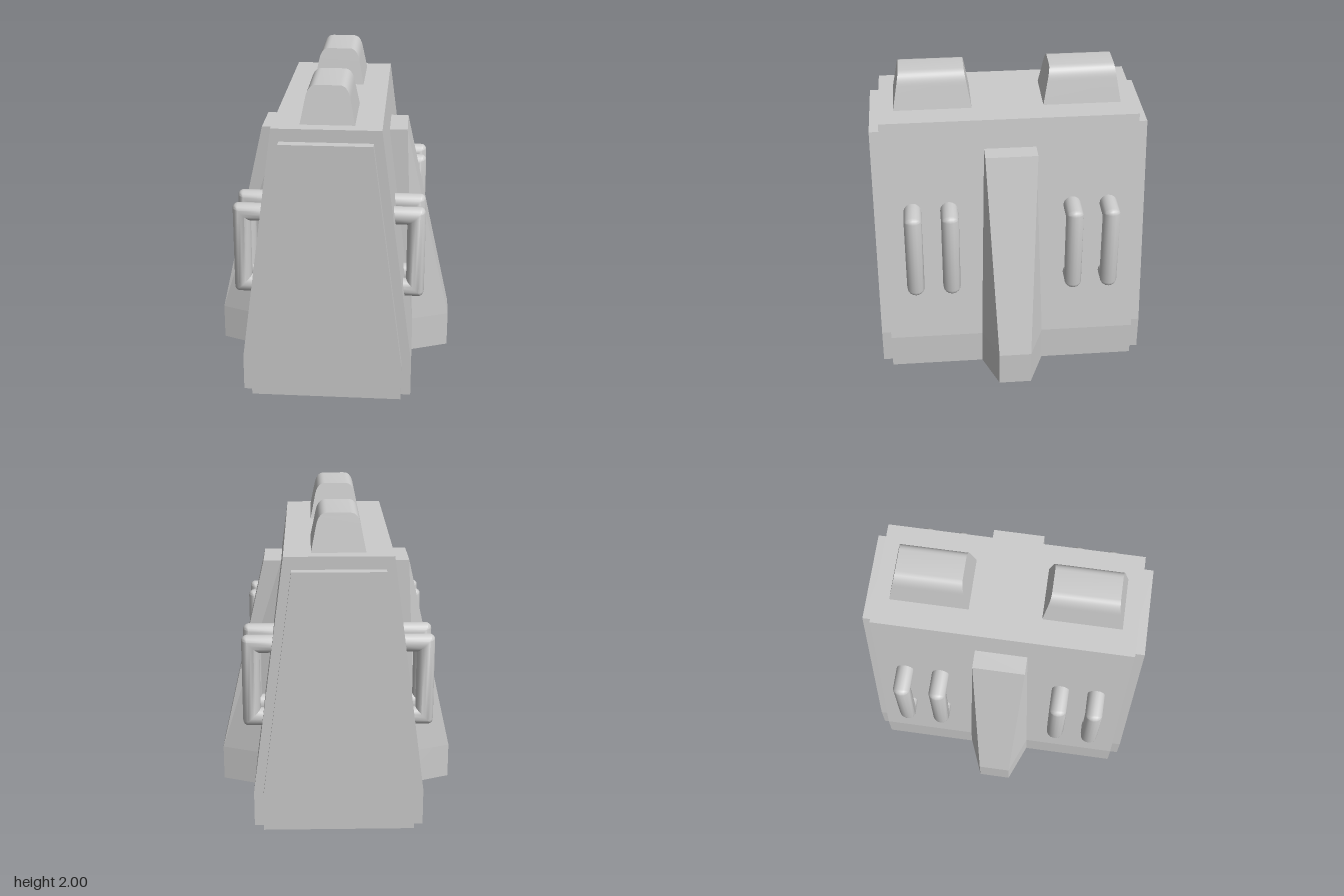
import * as THREE from 'three';
import { toCreasedNormals } from 'three/addons/utils/BufferGeometryUtils.js';

const material = new THREE.MeshStandardMaterial({ color: 0xcccccc });

function part(name, geometry, x = 0, y = 0, z = 0) {
  const mesh = new THREE.Mesh(geometry, material);
  mesh.name = name;
  mesh.position.set(x, y, z);
  return mesh;
}

// Closed rings of equal point count joined into a skin, with flat end caps.
function loft(rings, crease) {
  const n = rings[0].length;
  const index = [];
  for (let r = 0; r < rings.length - 1; r++) {
    for (let i = 0; i < n; i++) {
      const a = r * n + i, b = r * n + (i + 1) % n;
      index.push(a, b, b + n, a, b + n, a + n);
    }
  }
  const last = (rings.length - 1) * n;
  for (let i = 1; i < n - 1; i++) {
    index.push(0, i + 1, i, last, last + i, last + i + 1);
  }
  const g = new THREE.BufferGeometry();
  g.setAttribute('position', new THREE.Float32BufferAttribute(rings.flat(2), 3));
  g.setIndex(index);
  g.computeVertexNormals();
  return toCreasedNormals(g, crease);
}

// Slab with a short upright foot and tapering sides, centred in z.
function taperedSlab(foot, top, height, depth) {
  const shape = new THREE.Shape([
    [-foot, 0], [foot, 0], [foot, 0.235], [top, height], [-top, height], [-foot, 0.235],
  ].map(([x, y]) => new THREE.Vector2(x, y)));
  return new THREE.ExtrudeGeometry(shape, { depth, bevelEnabled: false }).translate(0, 0, -depth / 2);
}

// Side fin: wide against the wall, narrow outside, square at the top.
function buttressGeometry() {
  const section = (y, xi, zi, xo, zo) => [[xi, y, zi], [xo, y, zo], [xo, y, -zo], [xi, y, -zi]];
  return loft([
    section(0, 0.535, 0.205, 0.78, 0.105),
    section(0.235, 0.535, 0.203, 0.78, 0.105),
    section(1.575, 0.36, 0.165, 0.475, 0.165),
  ], 0.02);
}

// Round bar bent twice: tight inner corners, slightly rounded outer ones.
function handleGeometry() {
  const r = 0.057, pivot = 0.022, sides = 16, steps = 4;
  const xIn = 0.4, xOut = 0.548, yHalf = 0.243;
  const circle = Array.from({ length: sides }, (_, i) => {
    const a = (i / sides) * Math.PI * 2;
    return [r * Math.cos(a), r * Math.sin(a)];
  });
  const corner = (sy, t) => circle.map(([u, z]) => {
    const inner = Math.min(u, pivot), outer = Math.max(u - pivot, 0);
    return [
      xOut + inner + outer * Math.cos(t),
      sy * (yHalf + inner + outer * Math.sin(t)),
      z,
    ];
  });
  const end = (sy) => circle.map(([u, z]) => [xIn, sy * (yHalf + u), z]);
  const rings = [end(-1)];
  for (let i = steps; i >= 0; i--) rings.push(corner(-1, (i / steps) * Math.PI / 2));
  for (let i = 0; i <= steps; i++) rings.push(corner(1, (i / steps) * Math.PI / 2));
  rings.push(end(1));
  rings.forEach((ring) => ring.reverse());
  return loft(rings, 0.7);
}

// Roof block: rounded long edges, sloping ends.
function roofBlockGeometry() {
  const height = 0.235, halfLength = 0.2475;
  const s = new THREE.Shape();
  s.moveTo(-0.167, 0);
  s.lineTo(0.167, 0);
  s.lineTo(0.137, 0.15);
  s.bezierCurveTo(0.128, 0.2, 0.11, height, 0.07, height);
  s.lineTo(-0.07, height);
  s.bezierCurveTo(-0.11, height, -0.128, 0.2, -0.137, 0.15);
  s.closePath();
  const g = new THREE.ExtrudeGeometry(s, { depth: 2 * halfLength, bevelEnabled: false, curveSegments: 8 });
  g.translate(0, 0, -halfLength);
  const p = g.attributes.position;
  for (let i = 0; i < p.count; i++) {
    p.setZ(i, p.getZ(i) * (1 - 0.17 * p.getY(i) / height));
  }
  return toCreasedNormals(g, 0.5);
}

export function createModel() {
  const model = new THREE.Group();
  model.name = 'barrier';

  model.add(part('body', taperedSlab(0.537, 0.333, 1.765, 1.63)));

  // Raised panels on both ends, and the two blocks on the roof
  const panel = taperedSlab(0.476, 0.284, 1.685, 0.1);
  const block = roofBlockGeometry();
  for (const s of [1, -1]) {
    const end = s > 0 ? 'front' : 'back';
    model.add(part(end + 'Panel', panel, 0, 0, s * 0.828));
    model.add(part(end + 'RoofBlock', block, 0, 1.765, s * 0.475));
  }

  // Each side has a central fin and four grab handles
  const buttress = buttressGeometry();
  const handle = handleGeometry();
  for (const side of ['left', 'right']) {
    const group = new THREE.Group();
    group.name = side + 'Side';
    group.add(part('buttress', buttress));
    for (const z of [-0.632, -0.397, 0.397, 0.632]) {
      group.add(part('handle', handle, 0, 0.92, z));
    }
    if (side === 'right') group.rotation.y = Math.PI;
    model.add(group);
  }
  return model;
}
